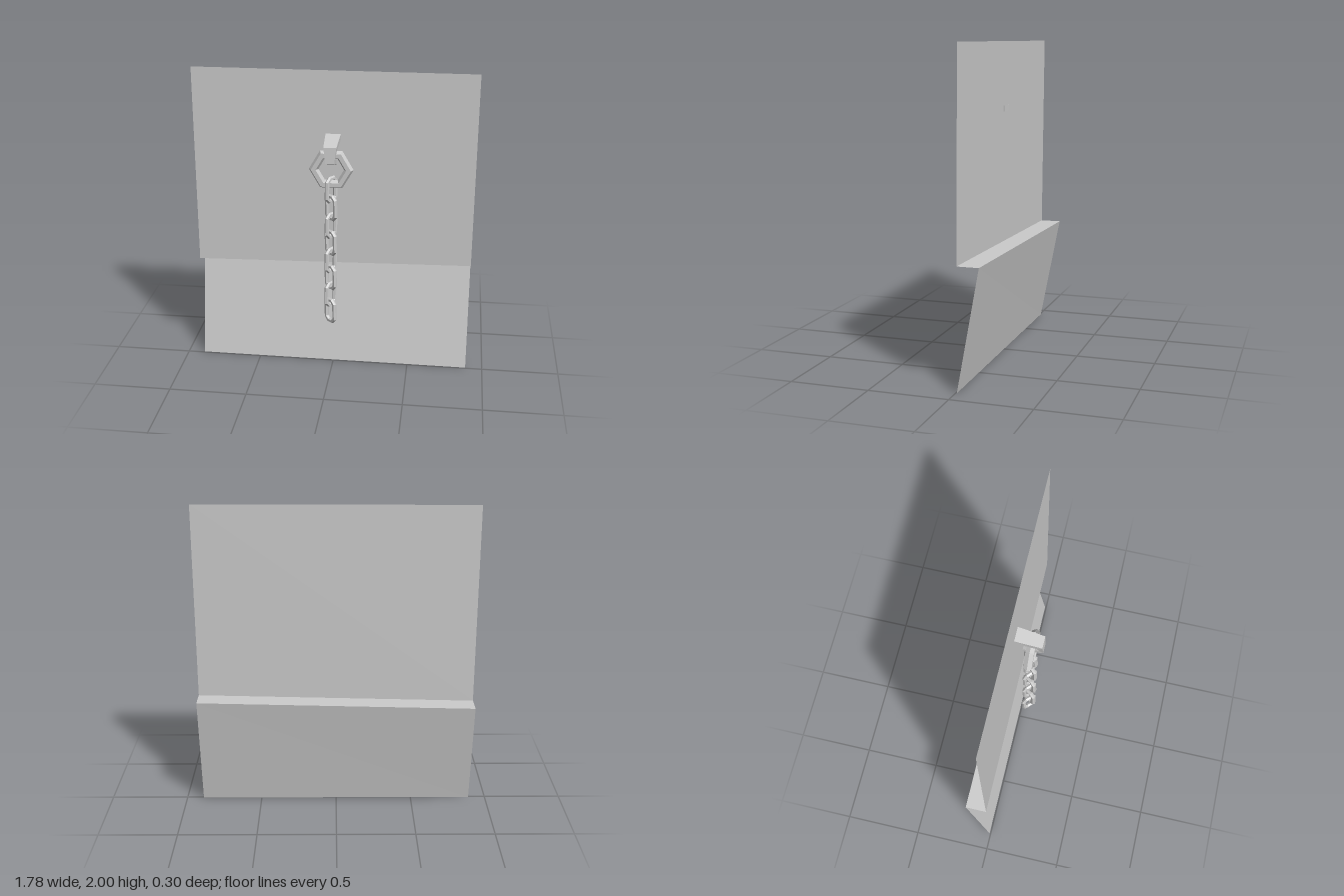
import * as THREE from 'three';

const solid = new THREE.MeshStandardMaterial({ color: 0xcccccc, flatShading: true });
const sheet = new THREE.MeshStandardMaterial({ color: 0xcccccc, flatShading: true, side: THREE.DoubleSide });

function addMesh(parent, name, geometry, material = solid) {
  const mesh = new THREE.Mesh(geometry, material);
  mesh.name = name;
  parent.add(mesh);
  return mesh;
}

// Skin through cross-sections (points counter-clockwise about the path direction)
function skin(sections, closed) {
  const n = sections[0].length, m = sections.length, index = [];
  for (let i = 0; i < (closed ? m : m - 1); i++) {
    for (let j = 0; j < n; j++) {
      const k = (i + 1) % m, l = (j + 1) % n;
      const a = i * n + j, b = i * n + l, c = k * n + l, d = k * n + j;
      index.push(a, b, c, a, c, d);
    }
  }
  if (!closed) {
    for (let j = 1; j < n - 1; j++) {
      const e = (m - 1) * n;
      index.push(0, j + 1, j, e, e + j, e + j + 1);
    }
  }
  const g = new THREE.BufferGeometry();
  g.setAttribute('position', new THREE.Float32BufferAttribute(sections.flat(2), 3));
  g.setIndex(index);
  g.computeVertexNormals();
  return g;
}

// One flat panel between two edges, each given as [y at left of sheet, y at right, z]
function panel(top, bottom) {
  const w = 0.89;
  const [a, b, c, d] = [[-w, bottom[0], bottom[2]], [w, bottom[1], bottom[2]], [w, top[1], top[2]], [-w, top[0], top[2]]];
  const g = new THREE.BufferGeometry();
  g.setAttribute('position', new THREE.Float32BufferAttribute([a, b, c, a, c, d].flat(), 3));
  g.computeVertexNormals();
  return g;
}

// Chamfered rectangular chain link, swept with a six-sided section
function linkGeometry(halfWidth, halfLength, chamfer, r) {
  const sides = 6, sections = Array.from({ length: 8 }, () => []);
  for (let j = 0; j < sides; j++) {
    const a = (j / sides) * Math.PI * 2, o = r * Math.cos(a), z = -r * Math.sin(a);
    const w = halfWidth + o, h = halfLength + o, c = chamfer + 0.586 * o;
    const loop = [[w, -h + c], [w, h - c], [w - c, h], [-w + c, h], [-w, h - c], [-w, -h + c], [-w + c, -h], [w - c, -h]];
    loop.forEach(([x, y], i) => sections[i].push([x, y, z]));
  }
  return skin(sections, true);
}

export function createModel() {
  const model = new THREE.Group();
  model.name = 'wallChain';

  // Wall: upper panel, recessed ledge and sloping lower panel
  const wall = new THREE.Group();
  wall.name = 'wall';
  model.add(wall);
  const front = [0.705, 0.747, -0.011], back = [0.705, 0.747, -0.145];
  addMesh(wall, 'upperPanel', panel([1.996, 2, -0.024], front), sheet);
  addMesh(wall, 'ledge', panel(front, back), sheet);
  addMesh(wall, 'lowerPanel', panel(back, [0, 0, -0.008]), sheet);

  // Hook: half width, then outer and inner [z, y]
  const hook = [
    [0.048, [-0.029, 1.599], [-0.029, 1.562]],
    [0.04, [0.149, 1.56], [0.117, 1.533]],
    [0.028, [0.154, 1.459], [0.127, 1.48]],
    [0.028, [0.027, 1.411], [0.027, 1.443]],
  ].map(([w, o, i]) => [[-w, i[1], i[0]], [w, i[1], i[0]], [w, o[1], o[0]], [-w, o[1], o[0]]]);
  addMesh(model, 'hook', skin(hook, false)).position.x = -0.002;

  // Six-sided ring hanging on the hook
  addMesh(model, 'ring', new THREE.TorusGeometry(0.11, 0.03, 6, 6)).position.set(-0.002, 1.398, 0.078);

  // Chain of links, alternately turned
  const chain = new THREE.Group();
  chain.name = 'chain';
  model.add(chain);
  const link = linkGeometry(0.04, 0.0735, 0.022, 0.014);
  for (let i = 0; i < 8; i++) {
    const mesh = addMesh(chain, 'chainLink' + (i + 1), link);
    mesh.position.set(-0.003 - 0.0008 * i, 1.262 - 0.121 * i, 0.073 - 0.0005 * i);
    mesh.rotation.y = i % 2 ? -0.76 : 0.98;
    mesh.rotation.z = i % 2 ? 0.04 : -0.04;
  }
  return model;
}
